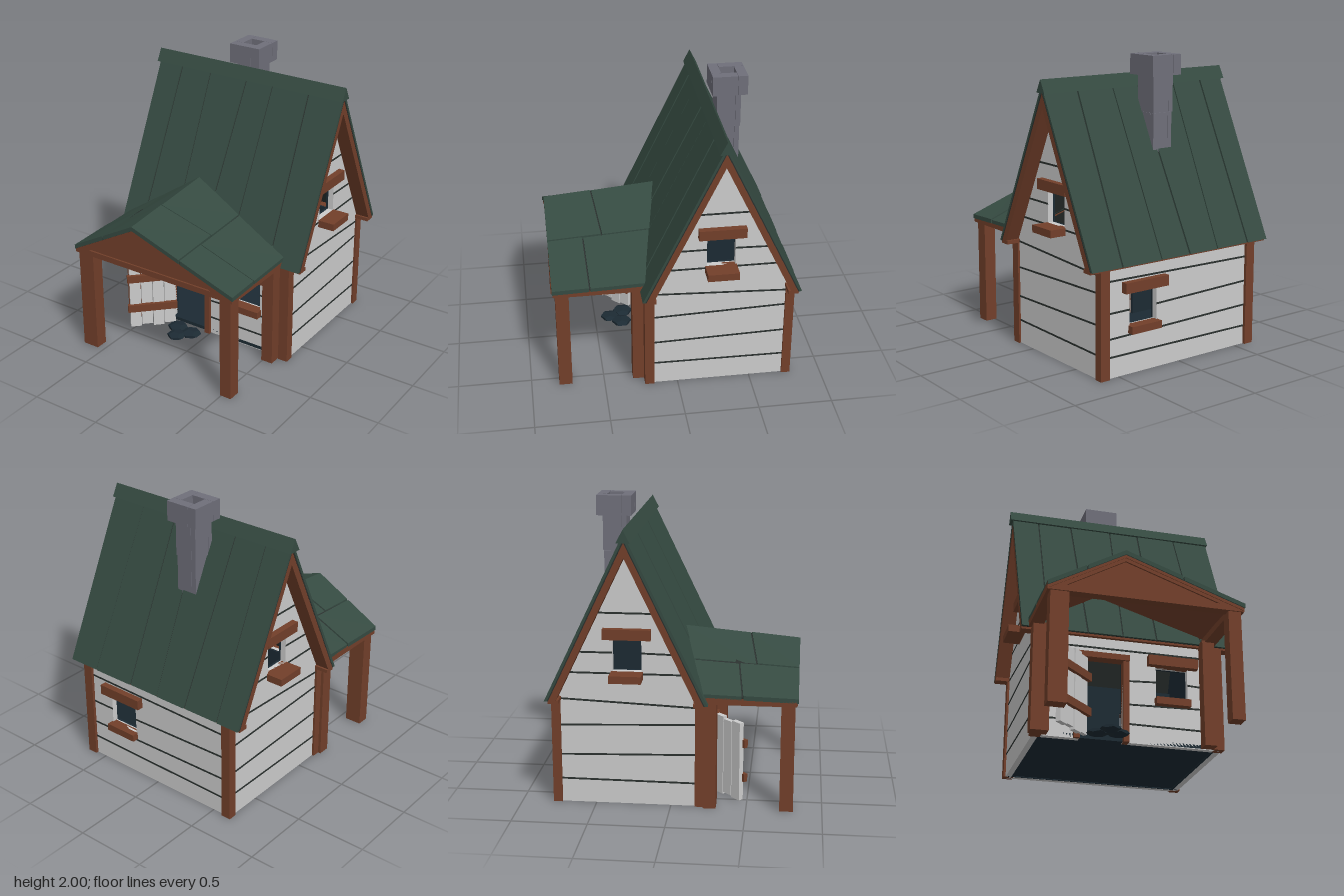
import * as THREE from 'three';

const mat = (color, side = THREE.FrontSide) =>
  new THREE.MeshStandardMaterial({ color, flatShading: true, side, roughness: 0.9 });
const GREY = mat(0xcccccc), WOOD = mat(0x723f2a), GREEN = mat(0x354a41);
const SEAM = mat(0x2a302e), DARK = mat(0x1c2a33), STONE = mat(0x6f6f7a);

function add(parent, name, geometry, material) {
  const mesh = new THREE.Mesh(geometry, material);
  mesh.name = name;
  parent.add(mesh);
  return mesh;
}

// Box given by its limits
function box(parent, name, material, x0, x1, y0, y1, z0, z1) {
  const m = add(parent, name, new THREE.BoxGeometry(x1 - x0, y1 - y0, z1 - z0), material);
  m.position.set((x0 + x1) / 2, (y0 + y1) / 2, (z0 + z1) / 2);
  return m;
}

// Solid between two matching outlines; the top runs counter-clockwise from outside
function prism(parent, name, material, top, bottom) {
  const n = top.length, idx = [];
  for (let i = 1; i < n - 1; i++) idx.push(0, i, i + 1, n, n + i + 1, n + i);
  for (let i = 0; i < n; i++) {
    const j = (i + 1) % n;
    idx.push(i, n + i, n + j, i, n + j, j);
  }
  let g = new THREE.BufferGeometry();
  g.setAttribute('position', new THREE.Float32BufferAttribute([...top, ...bottom].flat(), 3));
  g.setIndex(idx);
  g = g.toNonIndexed();
  g.computeVertexNormals();
  return add(parent, name, g, material);
}

function extrude(points, holes, depth) {
  const v = (p) => new THREE.Vector2(p[0], p[1]);
  const shape = new THREE.Shape(points.map(v));
  for (const h of holes) shape.holes.push(new THREE.Path(h.map(v)));
  return new THREE.ExtrudeGeometry(shape, { depth, bevelEnabled: false });
}

// Wall in its own plane (outer face at z = 0) with dark lining, board seams and one window
function wall(parent, name, outline, win, sillOut, seams, pos, turn) {
  const g = new THREE.Group();
  g.name = name;
  const [a, b, c, d] = win;
  const hole = [[[a, c], [a, d], [b, d], [b, c]]];
  add(g, 'siding', extrude(outline, hole, 0.04), GREY).position.z = -0.04;
  add(g, 'innerLining', extrude(outline, hole, 0.015), DARK).position.z = -0.056;
  for (const [u0, y0, u1, y1] of seams) {
    const s = add(g, 'boardSeam', new THREE.BoxGeometry(Math.hypot(u1 - u0, y1 - y0), 0.012, 0.006), SEAM);
    s.position.set((u0 + u1) / 2, (y0 + y1) / 2, 0);
    s.rotation.z = Math.atan2(y1 - y0, u1 - u0);
  }
  box(g, 'windowLintel', WOOD, a - 0.06, b + 0.065, d, d + 0.07, -0.03, 0.045);
  box(g, 'windowSill', WOOD, a - 0.01, b + 0.01, c - 0.05, c, -0.03, sillOut);
  g.position.set(...pos);
  g.rotation.y = turn;
  parent.add(g);
}

const RZ = -0.285;                       // ridge position
// Point on the main roof: s = 0 ridge to 1 eave, d = depth inward, side = 1 front, -1 back
const roofPoint = (x, s, d, side) =>
  [x, THREE.MathUtils.lerp(1.845 - d * 2.075, 0.73, s), RZ + side * s * (0.535 - d)];

function roofSlab(parent, name, material, xs, d0, d1, side) {
  const [tl, tr, bl, br] = xs;
  const corners = (d) => {
    const p = [[bl, 1], [br, 1], [tr, 0], [tl, 0]].map(([x, s]) => roofPoint(x, s, d, side));
    return side > 0 ? p : p.reverse();
  };
  prism(parent, name, material, corners(d0), corners(d1));
}

function mainRoof(parent) {
  const g = new THREE.Group();
  g.name = 'mainRoof';
  const seams = [[-0.745, -0.74], [-0.55, -0.56], [-0.31, -0.29], [-0.01, -0.05], [0.2, 0.185], [0.48, 0.5], [0.745, 0.74]];
  for (const side of [1, -1]) {
    for (let i = 0; i < 6; i++) {
      const [t0, b0] = seams[i], [t1, b1] = seams[i + 1];
      const w = 0.005, lift = (i % 2) * 0.003;
      roofSlab(g, 'roofPanel', GREEN, [t0 + w, t1 - w, b0 + w, b1 - w], lift, 0.02, side);
    }
    roofSlab(g, 'roofUnderlay', SEAM, [-0.738, 0.738, -0.735, 0.735], 0.012, 0.028, side);
    for (const x of [-0.735, 0.635]) roofSlab(g, 'rakeBoard', WOOD, [x, x + 0.1, x, x + 0.1], 0.028, 0.075, side);
    const z = RZ + side * 0.475;
    box(g, 'eaveBoard', WOOD, -0.735, 0.735, 0.715, 0.74, z - 0.035, z + 0.035);
  }
  const cap = extrude([[RZ - 0.045, 1.785], [RZ + 0.045, 1.785], [RZ, 1.872]], [], 1.505);
  add(g, 'ridgeCap', cap.rotateY(-Math.PI / 2).translate(0.748, 0, 0), GREEN);
  parent.add(g);
}

// Porch roof height; the ridge is off centre and climbs toward the house
function porchPoint(x, z, d) {
  const k = x < -0.19 ? (-0.19 - x) / 0.5 : (x + 0.19) / 0.79;
  const back = 0.83 - z;
  return [x, THREE.MathUtils.lerp(1.06 + back * 0.093, 0.785 + back * 0.03, k) - d, z];
}

function porch(parent) {
  const g = new THREE.Group();
  g.name = 'porch';
  const slab = (name, m, x0, x1, zf0, zf1, zb0, zb1, d0, d1) => {
    const c = (d) => [[x0, zf0], [x1, zf1], [x1, zb1], [x0, zb0]].map(([x, z]) => porchPoint(x, z, d));
    prism(g, name, m, c(d0), c(d1));
  };
  // Columns of panels: x0, x1, split z at each side, back z at each side
  for (const [x0, x1, s0, s1, b0, b1] of [
    [-0.69, -0.445, 0.47, 0.435, 0.2, 0.12], [-0.435, -0.19, 0.55, 0.5, 0.12, 0.05],
    [-0.19, 0.185, 0.5, 0.46, 0.05, 0.12], [0.195, 0.6, 0.59, 0.58, 0.12, 0.2]]) {
    slab('porchPanelFront', GREEN, x0, x1, 0.83, 0.83, s0 + 0.005, s1 + 0.005, 0, 0.03);
    slab('porchPanelBack', GREEN, x0, x1, s0 - 0.005, s1 - 0.005, b0, b1, 0.004, 0.03);
  }
  for (const [x0, x1, b0, b1] of [[-0.685, -0.19, 0.2, 0.06], [-0.19, 0.595, 0.06, 0.2]]) {
    slab('porchUnderlay', SEAM, x0, x1, 0.825, 0.825, b0, b1, 0.015, 0.032);
    slab('porchSoffit', WOOD, x0, x1, 0.825, 0.825, b0, b1, 0.032, 0.052);
  }
  // Gable front with a recessed panel
  const outer = [[-0.69, 0.73], [0.595, 0.73], [0.595, 0.755], [-0.19, 1.03], [-0.69, 0.755]];
  const inner = [[-0.57, 0.77], [-0.19, 0.985], [0.43, 0.77]];
  add(g, 'porchGableFrame', extrude(outer, [inner], 0.07), WOOD).position.z = 0.75;
  add(g, 'porchGablePanel', extrude(inner, [], 0.04), WOOD).position.z = 0.768;
  for (const [x0, x1] of [[-0.67, -0.55], [0.49, 0.575]]) {
    box(g, 'porchPost', WOOD, x0, x1, 0, 0.74, 0.72, 0.81);
    box(g, 'porchBackPost', WOOD, x0, x1, 0, 0.74, 0.215, 0.3);
  }
  box(g, 'porchBeam', WOOD, -0.69, -0.6, 0.73, 0.775, 0.22, 0.82);
  box(g, 'porchBeam', WOOD, 0.51, 0.595, 0.73, 0.775, 0.22, 0.82);
  parent.add(g);
}

function doorway(parent) {
  box(parent, 'doorLintel', WOOD, -0.37, 0, 0.56, 0.6, 0.16, 0.24);
  for (const x of [-0.37, -0.04]) box(parent, 'doorJamb', WOOD, x, x + 0.04, 0, 0.56, 0.16, 0.225);
  // Door standing open on its hinge
  const door = new THREE.Group();
  door.name = 'door';
  [[0.015, 0.55], [0.005, 0.56], [0.02, 0.545], [0.01, 0.555]].forEach(([y0, y1], i) =>
    box(door, 'doorPlank', GREY, i * 0.083, i * 0.083 + 0.078, y0, y1, -0.018 - (i % 2) * 0.005, 0.012));
  for (const y of [0.14, 0.38]) box(door, 'doorBand', WOOD, -0.01, 0.345, y, y + 0.055, -0.045, -0.015);
  door.position.set(-0.3, 0, 0.225);
  door.rotation.y = -Math.PI * 0.75;
  parent.add(door);
  // Low step stones
  for (const [x, z, r] of [[-0.23, 0.29, 0.075], [-0.1, 0.31, 0.075], [-0.17, 0.39, 0.07]]) {
    const s = add(parent, 'stepStone', new THREE.DodecahedronGeometry(r), DARK);
    s.scale.y = 0.25;
    s.position.set(x, 0.019, z);
  }
}

// Hollow square of four blocks laid in a pinwheel
function stoneRing(parent, name, half, thick, y0, y1) {
  for (let i = 0; i < 4; i++) {
    const arm = new THREE.Group();
    box(arm, name, STONE, -half, half - thick - 0.002, y0, y1, half - thick, half);
    arm.position.set(-0.063, 0, -0.43);
    arm.rotation.y = i * Math.PI / 2;
    parent.add(arm);
  }
}

export function createModel() {
  const model = new THREE.Group();
  model.name = 'cottage';
  const H = 0.74;
  wall(model, 'frontWall',
    [[-0.62, 0], [-0.33, 0], [-0.33, 0.57], [-0.04, 0.57], [-0.04, 0], [0.62, 0], [0.62, H], [-0.62, H]],
    [0.19, 0.41, 0.325, 0.55], 0.05,
    [[-0.6, 0.12, -0.36, 0.13], [0, 0.13, 0.6, 0.125], [-0.6, 0.25, -0.36, 0.25], [0, 0.265, 0.6, 0.28],
      [-0.6, 0.43, -0.36, 0.43], [0, 0.43, 0.19, 0.44], [0.41, 0.44, 0.6, 0.43], [-0.6, 0.645, 0.6, 0.645]],
    [0, 0, 0.2], 0);
  wall(model, 'backWall', [[-0.62, 0], [0.62, 0], [0.62, H], [-0.62, H]], [-0.41, -0.19, 0.325, 0.55], 0.045,
    [[-0.6, 0.14, 0.6, 0.13], [-0.6, 0.26, 0.6, 0.28], [-0.6, 0.43, -0.41, 0.43], [-0.19, 0.43, 0.6, 0.45], [-0.6, 0.64, 0.6, 0.62]],
    [0, 0, -0.77], Math.PI);
  for (const side of [1, -1]) {
    wall(model, side > 0 ? 'leftGableWall' : 'rightGableWall',
      [[-0.475, 0], [0.475, 0], [0.475, H], [0, 1.74], [-0.475, H]], [-0.095, 0.095, 0.92, 1.14], 0.118,
      [[-0.46, 0.165, 0.46, 0.16], [-0.46, 0.335, 0.46, 0.36], [-0.46, 0.54, 0.46, 0.57], [-0.46, 0.725, 0.46, 0.685],
        [-0.38, 0.905, 0.38, 0.905], [-0.31, 1.045, -0.095, 1.045], [0.095, 1.045, 0.31, 1.04], [-0.19, 1.31, 0.19, 1.31]],
      [side * 0.635, 0, RZ], side * Math.PI / 2);
    const [x0, x1] = side > 0 ? [0.58, 0.65] : [-0.65, -0.58];
    box(model, 'cornerPost', WOOD, x0, x1, 0, 0.74, 0.16, 0.225);
    box(model, 'cornerPost', WOOD, x0, x1, 0, 0.74, -0.79, -0.73);
  }
  box(model, 'floor', DARK, -0.59, 0.59, 0.005, 0.03, -0.74, 0.2);
  mainRoof(model);
  porch(model);
  doorway(model);
  const chimney = new THREE.Group();
  chimney.name = 'chimney';
  stoneRing(chimney, 'chimneyLower', 0.076, 0.033, 1.36, 1.62);
  stoneRing(chimney, 'chimneyUpper', 0.081, 0.035, 1.622, 1.87);
  stoneRing(chimney, 'chimneyCap', 0.118, 0.065, 1.865, 2);
  model.add(chimney);
  return model;
}
